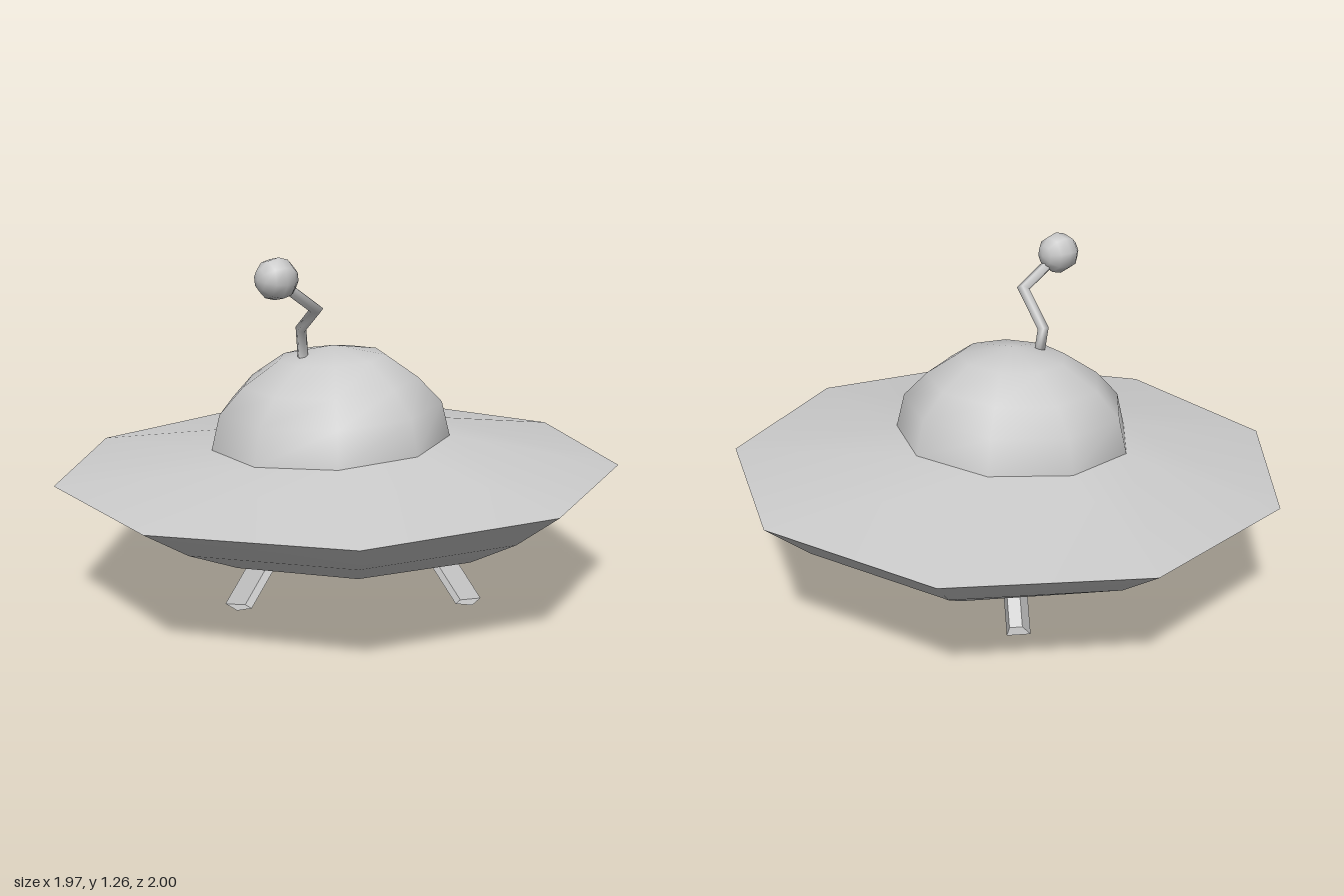
import * as THREE from 'three';
import { mergeVertices } from 'three/addons/utils/BufferGeometryUtils.js';

const SIDES = 9;

// Skin a list of rings (arrays of Vector3, counted the same), closed around each ring.
function loft(rings, flat = false, capped = false) {
  const n = rings[0].length;
  const pos = rings.flat().flatMap((p) => [p.x, p.y, p.z]);
  const index = [];
  for (let i = 0; i < rings.length - 1; i++) {
    for (let j = 0; j < n; j++) {
      const a = i * n + j, b = i * n + ((j + 1) % n);
      index.push(a, a + n, b, b, a + n, b + n);
    }
  }
  if (capped) {
    const top = (rings.length - 1) * n;
    for (let j = 1; j < n - 1; j++) index.push(0, j, j + 1, top, top + j + 1, top + j);
  }
  let geo = new THREE.BufferGeometry();
  geo.setAttribute('position', new THREE.Float32BufferAttribute(pos, 3));
  geo.setIndex(index);
  geo = flat ? geo.toNonIndexed() : mergeVertices(geo, 1e-4);
  geo.computeVertexNormals();
  return geo;
}

// Horizontal nine-sided ring: centre x, height, radius, slope rising towards +x.
function ring([cx, y, r, slope]) {
  return Array.from({ length: SIDES }, (_, k) => {
    const a = (k / SIDES) * Math.PI * 2;
    const dx = r * Math.cos(a);
    return new THREE.Vector3(cx + dx, y + dx * slope, r * Math.sin(a));
  });
}

// Square-cornered tube along a bent path, mitred at every bend.
function bentRod(points, radius, sides) {
  const dirs = points.slice(1).map((p, i) => p.clone().sub(points[i]).normalize());
  const side = new THREE.Vector3(1, 0, 0).cross(dirs[0]).normalize();
  const other = side.clone().cross(dirs[0]);
  let section = Array.from({ length: sides }, (_, k) => {
    const a = (k / sides) * Math.PI * 2;
    return points[0].clone()
      .addScaledVector(side, radius * Math.cos(a))
      .addScaledVector(other, radius * Math.sin(a));
  });
  const rings = [section];
  dirs.forEach((d, i) => {
    const normal = d.clone().add(dirs[i + 1] ?? d).normalize();
    section = section.map((p) => {
      const t = points[i + 1].clone().sub(p).dot(normal) / d.dot(normal);
      return p.clone().addScaledVector(d, t);
    });
    rings.push(section);
  });
  return loft(rings, false, true);
}

export function createModel() {
  const group = new THREE.Group();
  const material = new THREE.MeshStandardMaterial({ color: 0xcccccc });
  const add = (name, geometry) => {
    const mesh = new THREE.Mesh(geometry, material);
    mesh.name = name;
    group.add(mesh);
    return mesh;
  };

  // Saucer body: belly, flared lower hull and sloping deck
  const keel = [0, 0.235, 0.615, 0];
  const rim = [-0.035, 0.478, 1.015, 0.0228];
  const domeBase = [-0.063, 0.577, 0.433, 0.054];
  add('belly', loft([[-0.01, 0.122, 0, 0], [-0.005, 0.155, 0.31, 0], keel].map(ring)));
  add('lowerHull', loft([keel, [-0.02, 0.347, 0.83, 0.012], rim].map(ring)));
  add('deck', loft([rim, domeBase].map(ring)));

  // Dome, leaning with its base
  add('dome', loft([
    domeBase,
    [-0.063, 0.702, 0.403, 0.054],
    [-0.063, 0.792, 0.318, 0.054],
    [-0.055, 0.876, 0.195, 0.054],
    [-0.05, 0.915, 0, 0],
  ].map(ring)));

  // Three splayed legs, tapered in section: wide outer face, narrow inner face
  const legSection = (r, y, tilt) => [
    [r + 0.035, y + tilt, 0.042], [r - 0.035, y - tilt, 0.023],
    [r - 0.035, y - tilt, -0.023], [r + 0.035, y + tilt, -0.042],
  ].map((p) => new THREE.Vector3(...p)).reverse();
  const legs = [[60, 0.49, 0.012], [180, 0.45, 0.007], [-60, 0.46, 0.03]];
  for (const [angle, foot, y] of legs) {
    const leg = add('leg', loft([
      legSection(foot, y, 0.006), legSection(foot - 0.155, y + 0.21, 0.006),
    ], true, true));
    leg.rotation.y = -THREE.MathUtils.degToRad(angle);
  }

  // Crooked antenna with a ball tip
  const path = [
    [-0.175, 0.85, 0], [-0.153, 0.975, -0.05], [-0.2, 1.07, 0.125], [-0.34, 1.175, 0.105],
  ].map((p) => new THREE.Vector3(...p));
  add('antennaRod', bentRod(path, 0.02, 5));
  const ball = add('antennaBall', new THREE.SphereGeometry(0.075, 8, 6));
  ball.position.set(-0.35, 1.183, 0.108);
  ball.rotation.set(0.2, 0, Math.PI / 2);

  return group;
}
